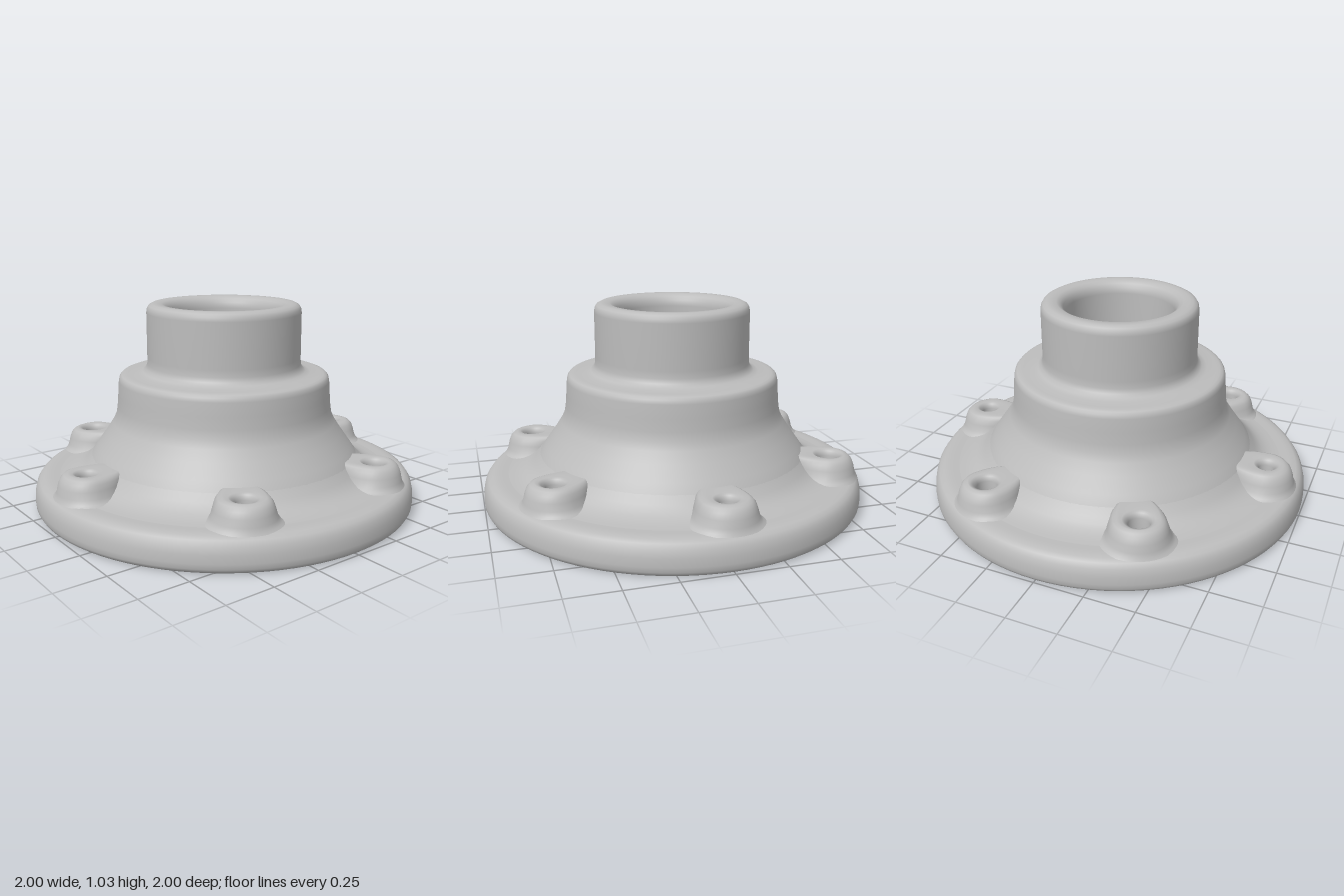
import * as THREE from 'three';

const SEG = 96;
const UNDERSIDE = 0.075;

export function createModel() {
  const group = new THREE.Group();
  const castMetal = new THREE.MeshStandardMaterial({ color: 0xbcbcbc });
  castMetal.name = 'castMetal';

  const add = (name, geometry) => {
    const mesh = new THREE.Mesh(geometry, castMetal);
    mesh.name = name;
    group.add(mesh);
    return mesh;
  };
  const lathe = (points, segments = SEG, start = 0, length = Math.PI * 2) =>
    new THREE.LatheGeometry(points.map(([r, y]) => new THREE.Vector2(r, y)), segments, start, length);

  // Bolt hole centres as [x, z], mirrored left and right, with hole radius
  const bolts = [];
  for (const s of [-1, 1]) {
    bolts.push([s * 0.815, -0.02, 0.04], [s * 0.4, -0.72, 0.052], [s * 0.415, 0.695, 0.047]);
  }

  // Rounded outer edge of the flange, with a lip around the recessed underside
  add('flangeRim', lathe([
    [0.93, UNDERSIDE], [0.942, 0.07], [0.948, 0.055], [0.951, 0.025], [0.956, 0.008],
    [0.966, 0], [0.978, 0.001], [0.99, 0.01],
    [0.998, 0.025], [1, 0.05], [0.997, 0.09], [0.988, 0.125], [0.972, 0.148], [0.95, 0.159],
    [0.92, 0.162], [0.9, 0.162],
  ]));

  // Flat flange faces pierced by the bolt holes
  const ring = (inner, outer, up) => {
    const shape = new THREE.Shape().absarc(0, 0, outer, 0, Math.PI * 2);
    shape.holes.push(new THREE.Path().absarc(0, 0, inner, 0, Math.PI * 2, true));
    for (const [x, z, r] of bolts) {
      shape.holes.push(new THREE.Path().absarc(x, up ? -z : z, up ? r : 0.055, 0, Math.PI * 2, true));
    }
    return new THREE.ShapeGeometry(shape, SEG).rotateX(up ? -Math.PI / 2 : Math.PI / 2);
  };
  add('flangeTop', ring(0.755, 0.9, true)).position.y = 0.162;
  add('flangeUnderside', ring(0.72, 0.93, false)).position.y = UNDERSIDE;

  // Hollow hub: cone, shoulder, collar, bore, inner ledge and inner cone
  add('hub', lathe([
    [0.755, 0.162], [0.745, 0.175], [0.73, 0.2], [0.705, 0.25], [0.67, 0.3], [0.62, 0.37],
    [0.585, 0.425], [0.567, 0.465], [0.56, 0.51], [0.555, 0.57], [0.55, 0.64], [0.545, 0.66],
    [0.535, 0.671], [0.52, 0.676], [0.5, 0.677], [0.45, 0.68], [0.425, 0.688], [0.409, 0.702],
    [0.401, 0.725], [0.4, 0.76], [0.4, 0.99], [0.397, 1.01], [0.388, 1.025], [0.37, 1.034],
    [0.35, 1.035], [0.32, 1.032], [0.3, 1.02], [0.286, 1.0], [0.28, 0.97], [0.28, 0.6],
    [0.283, 0.588], [0.295, 0.58], [0.345, 0.58], [0.365, 0.574], [0.377, 0.56],
    [0.385, 0.52], [0.395, 0.48], [0.42, 0.44],
    [0.54, 0.27], [0.65, 0.115], [0.665, 0.095], [0.685, 0.081], [0.72, UNDERSIDE],
  ]));

  // Soft fillet between cone and flange, in arcs that run from boss to boss
  const angles = bolts.map(([x, z]) => Math.atan2(x, z)).sort((a, b) => a - b);
  angles.forEach((angle, i) => {
    const next = i < angles.length - 1 ? angles[i + 1] : angles[0] + Math.PI * 2;
    add('hubFillet', lathe([
      [0.87, 0.162], [0.84, 0.165], [0.81, 0.171], [0.78, 0.182], [0.755, 0.198],
      [0.73, 0.22], [0.7, 0.257],
    ], 20, angle + 0.1, next - angle - 0.2));
  });

  // Raised boss blending into the hub, continuing down through its bolt hole.
  // Each section: half width, outward reach, extra inward reach, height
  const bossGeometry = ([cx, cz, hole]) => {
    const sections = [
      [0.19, 0.155, 0, 0.158], [0.168, 0.148, 0.015, 0.17], [0.152, 0.141, 0.035, 0.19],
      [0.142, 0.134, 0.05, 0.225], [0.132, 0.122, 0.07, 0.254], [0.118, 0.105, 0.085, 0.271],
      [0.1, 0.085, 0.1, 0.278], [hole + 0.025, hole + 0.025, 0, 0.276],
      [hole + 0.01, hole + 0.01, 0, 0.268], [hole, hole, 0, 0.245],
      [hole, hole, 0, 0.14], [0.055, 0.055, 0, UNDERSIDE],
    ];
    const n = 40, d = Math.hypot(cx, cz), ux = cx / d, uz = cz / d;
    const position = [], index = [];
    sections.forEach(([w, out, inward, y], i) => {
      for (let j = 0; j < n; j++) {
        const a = (j / n) * Math.PI * 2, c = Math.cos(a);
        const u = c * (c > 0 ? out : w + inward), v = Math.sin(a) * w;
        position.push(cx + ux * u - uz * v, y, cz + uz * u + ux * v);
        if (i < sections.length - 1) {
          const k = i * n + j, m = i * n + ((j + 1) % n);
          index.push(k, k + n, m, m, k + n, m + n);
        }
      }
    });
    const geometry = new THREE.BufferGeometry();
    geometry.setAttribute('position', new THREE.Float32BufferAttribute(position, 3));
    geometry.setIndex(index);
    geometry.computeVertexNormals();
    return geometry;
  };
  bolts.forEach((bolt) => add('boltBoss', bossGeometry(bolt)));

  return group;
}
